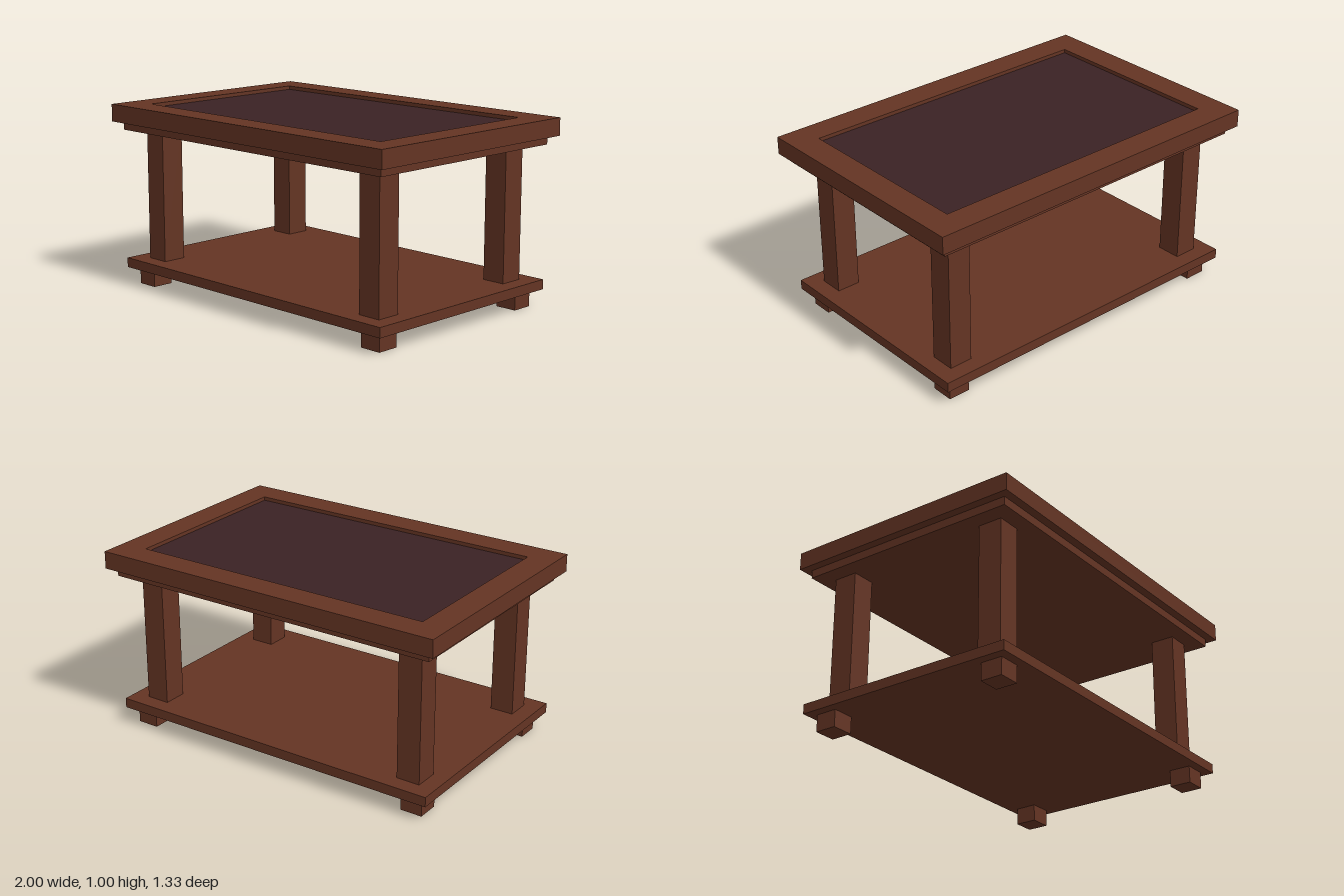
import * as THREE from 'three';

export function createModel() {
  const wood = new THREE.MeshStandardMaterial({ color: 0x643423 });
  wood.name = 'brown wood';
  const inlay = new THREE.MeshStandardMaterial({ color: 0x3a2224 });
  inlay.name = 'dark inlay';

  const table = new THREE.Group();
  table.name = 'coffeeTable';

  // Box given by its size, centre and bottom height
  function box(name, w, d, y0, y1, x = 0, z = 0, material = wood) {
    const mesh = new THREE.Mesh(new THREE.BoxGeometry(w, y1 - y0, d), material);
    mesh.position.set(x, (y0 + y1) / 2, z);
    mesh.name = name;
    table.add(mesh);
  }

  function rectangle(target, w, d) {
    target.moveTo(-w / 2, -d / 2);
    target.lineTo(w / 2, -d / 2);
    target.lineTo(w / 2, d / 2);
    target.lineTo(-w / 2, d / 2);
    target.closePath();
    return target;
  }

  // Table top frame with a rectangular opening
  const outline = rectangle(new THREE.Shape(), 2, 1.333);
  outline.holes.push(rectangle(new THREE.Path(), 1.7, 1.03));
  const frameGeometry = new THREE.ExtrudeGeometry(outline, { depth: 0.095, bevelEnabled: false });
  frameGeometry.rotateX(-Math.PI / 2);
  const frame = new THREE.Mesh(frameGeometry, wood);
  frame.position.y = 0.905;
  frame.name = 'topFrame';
  table.add(frame);

  // Recessed panel, the plate under the top, and the lower shelf
  box('topPanel', 1.7, 1.03, 0.905, 0.98, 0, 0, inlay);
  box('underTop', 1.91, 1.245, 0.86, 0.905);
  box('shelf', 1.91, 1.245, 0.092, 0.145);

  // Legs and feet at the four corners
  for (const [sx, side] of [[1, 'Left'], [-1, 'Right']]) {
    for (const [sz, end] of [[1, 'front'], [-1, 'back']]) {
      box(`${end}${side}Leg`, 0.13, 0.133, 0.145, 0.86, sx * 0.8, sz * 0.468);
      box(`${end}${side}Foot`, 0.12, 0.12, 0, 0.092, sx * 0.845, sz * 0.513);
    }
  }

  return table;
}
